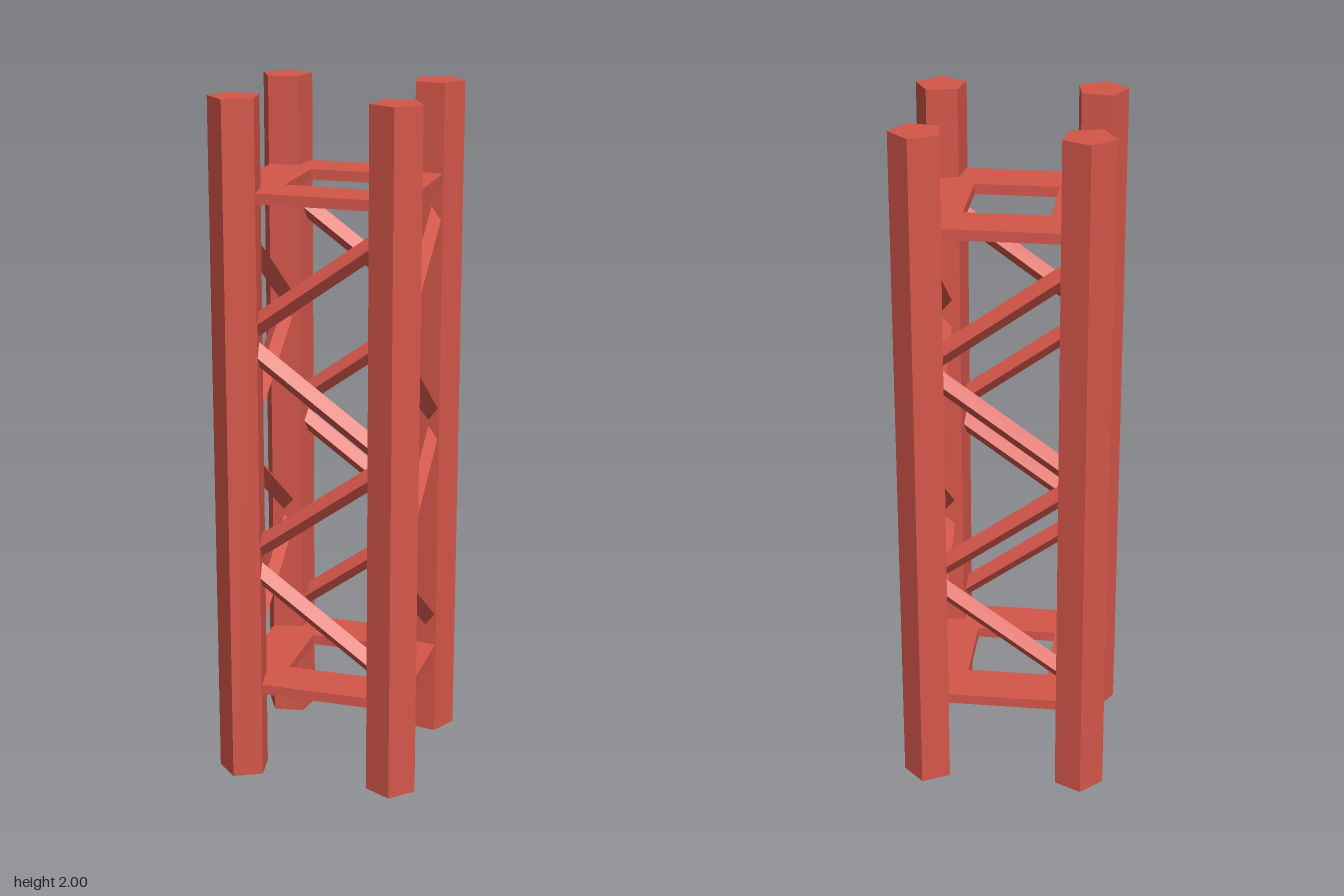
import * as THREE from 'three';

const POST = 0.226;      // distance of post centres from both mid planes
const BAYS = 4;
const BRACE_START = 0.342, BAY_HEIGHT = 0.329;

export function createModel() {
  const red = new THREE.MeshStandardMaterial({ color: 0xd4564a, flatShading: true });
  red.name = 'red paint';
  const model = new THREE.Group();
  model.name = 'trussTower';

  const add = (parent, name, geometry) => {
    const mesh = new THREE.Mesh(geometry, red);
    mesh.name = name;
    parent.add(mesh);
    return mesh;
  };

  // Five-sided post with one edge towards the tower's axis
  const postGeometry = new THREE.CylinderGeometry(0.075, 0.075, 2, 5, 1, false, Math.PI * 1.25);

  // Four-sided diagonal running from post centre to post centre
  const braceLength = Math.hypot(2 * POST, BAY_HEIGHT);
  const braceGeometry = new THREE.CylinderGeometry(0.029, 0.029, braceLength, 4);
  const braceTilt = Math.atan2(2 * POST, BAY_HEIGHT);

  // Each side holds one post and a zigzag of braces
  for (let k = 0; k < 4; k++) {
    const side = new THREE.Group();
    side.name = 'side' + (k + 1);
    side.rotation.y = k * Math.PI / 2;
    add(side, 'post', postGeometry).position.set(POST, 1, POST);
    for (let i = 0; i < BAYS; i++) {
      const brace = add(side, 'brace', braceGeometry);
      brace.position.set(0, BRACE_START + (i + 0.5) * BAY_HEIGHT, POST);
      brace.rotation.z = i % 2 ? -braceTilt : braceTilt;
    }
    model.add(side);
  }

  // Square frames with an open middle
  const square = (Type, h) => {
    const path = new Type();
    path.moveTo(-h, -h).lineTo(h, -h).lineTo(h, h).lineTo(-h, h).closePath();
    return path;
  };
  const outline = square(THREE.Shape, 0.259);
  outline.holes.push(square(THREE.Path, 0.12));
  const frameGeometry = new THREE.ExtrudeGeometry(outline, { depth: 0.03, bevelEnabled: false });
  frameGeometry.rotateX(-Math.PI / 2);
  add(model, 'lowerFrame', frameGeometry).position.y = 0.26;
  add(model, 'upperFrame', frameGeometry).position.y = 1.715;

  return model;
}
